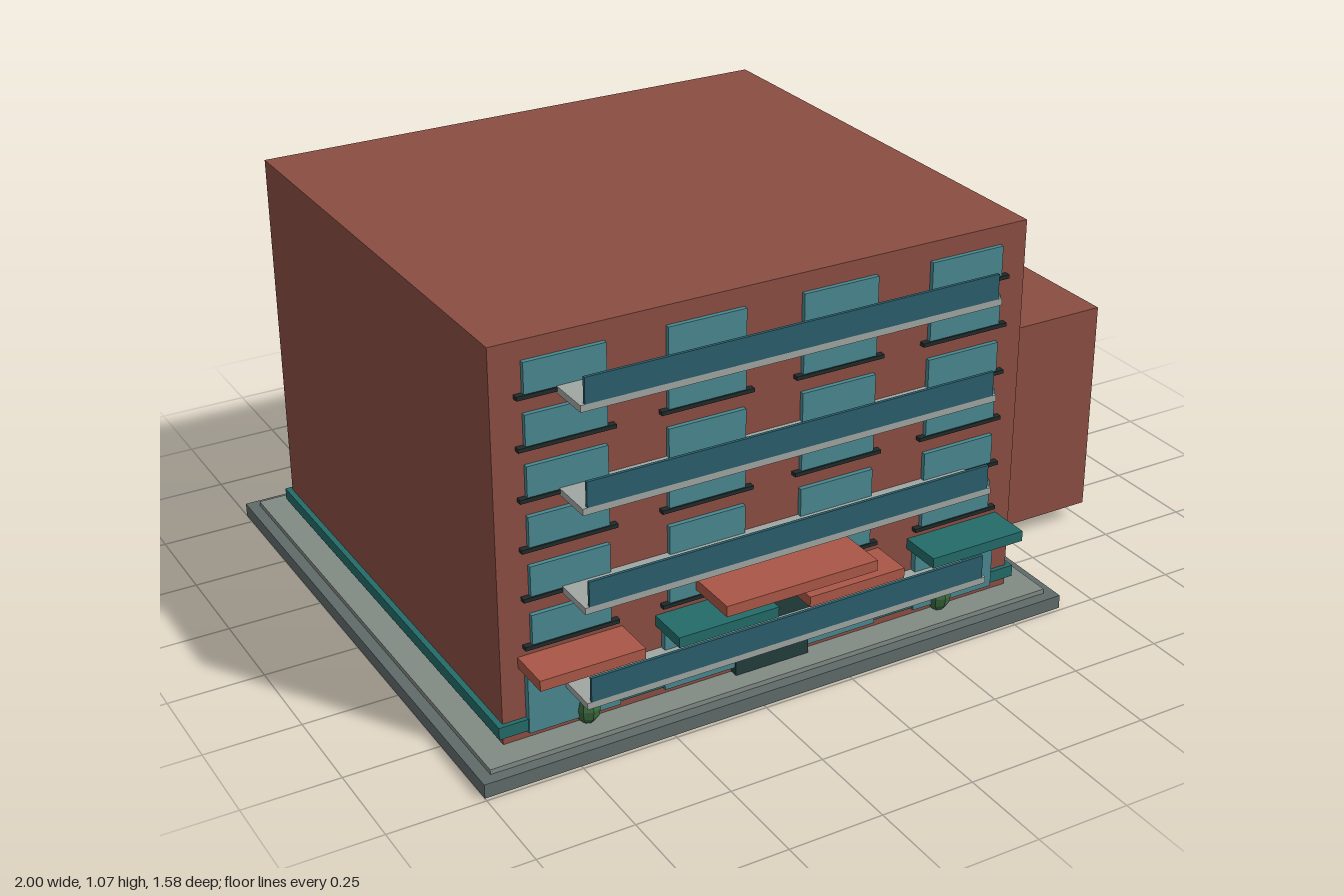
import * as THREE from 'three';

const mat = (color, extra = {}) => new THREE.MeshStandardMaterial({ color, ...extra });
const brick = mat(0x8a4d42), stone = mat(0x5f6b69), paving = mat(0x828a84), teal = mat(0x236b68);
const glass = mat(0x488890), sillDark = mat(0x202a2a), railGlass = mat(0x2a5f6c);
const concrete = mat(0xa0a6a2), awningRed = mat(0xa95747), doorDark = mat(0x213d3b);
const leaf = mat(0x3c6b3f, { flatShading: true });

export function createModel() {
  const model = new THREE.Group();
  model.name = 'building';

  // Box given by its limits on each axis
  const box = (name, material, [x0, x1], [y0, y1], [z0, z1], parent = model) => {
    const mesh = new THREE.Mesh(new THREE.BoxGeometry(x1 - x0, y1 - y0, z1 - z0), material);
    mesh.position.set((x0 + x1) / 2, (y0 + y1) / 2, (z0 + z1) / 2);
    mesh.name = name;
    parent.add(mesh);
    return mesh;
  };

  const front = 0.635, back = -0.68;

  // Ground slabs, main block, side wing and base band
  box('plinth', stone, [-1, 0.65], [0, 0.037], [-0.79, 0.74]);
  box('pavement', paving, [-0.97, 0.62], [0.037, 0.05], [-0.76, 0.71]);
  box('mainBlock', brick, [-0.9, 0.547], [0.05, 1.072], [back, front]);
  box('sideWing', brick, [0.547, 1], [0.05, 0.642], [-0.575, 0.393]);
  box('baseBand', teal, [-0.915, 0.562], [0.075, 0.107], [-0.695, 0.647]);

  // Windows with sills: six rows in front, seven at the back
  const columns = [-0.718, -0.355, 0.007, 0.368];
  const addWindow = (x, sillY, z, dir) => {
    const win = new THREE.Group();
    win.name = 'window';
    const span = (d) => (dir > 0 ? [z - 0.01, z + d] : [z - d, z + 0.01]);
    box('pane', glass, [x - 0.103, x + 0.103], [sillY + 0.01, sillY + 0.088], span(0.012), win);
    box('sill', sillDark, [x - 0.123, x + 0.123], [sillY, sillY + 0.01], span(0.016), win);
    model.add(win);
  };
  for (let row = 0; row < 7; row++) {
    const sillY = 0.935 - row * 0.128;
    for (const x of columns) {
      if (row < 6) addWindow(x, sillY, front, 1);
      addWindow(x, sillY, back, -1);
    }
  }

  // Balconies on every second floor
  for (let i = 0; i < 4; i++) {
    const y = 0.93 - i * 0.255;
    const balcony = new THREE.Group();
    balcony.name = 'balcony';
    box('balconySlab', concrete, [-0.741, 0.387], [y, y + 0.017], [front, 0.76], balcony);
    box('balconyRail', railGlass, [-0.73, 0.376], [y + 0.017, y + 0.082], [0.752, 0.76], balcony);
    model.add(balcony);
  }

  // Shop fronts under awnings of alternating colour
  columns.forEach((x, i) => {
    box('shopFront', glass, [x - 0.121, x + 0.121], [0.07, 0.25], [front - 0.01, 0.652]);
    box('awning', i % 2 ? teal : awningRed, [x - 0.137, x + 0.137], [0.247, 0.275], [front, 0.75]);
  });

  // Entrance
  box('entranceDoor', doorDark, [-0.281, -0.073], [0.05, 0.32], [front - 0.01, 0.658]);
  box('entranceCanopy', awningRed, [-0.387, 0.035], [0.32, 0.349], [front, 0.79]);

  // Shrubs by the entrance
  for (const x of [-0.682, 0.33]) {
    const shrub = new THREE.Mesh(new THREE.SphereGeometry(0.033, 8, 6), leaf);
    shrub.scale.y = 1.35;
    shrub.position.set(x, 0.089, 0.643);
    shrub.name = 'shrub';
    model.add(shrub);
  }

  return model;
}
